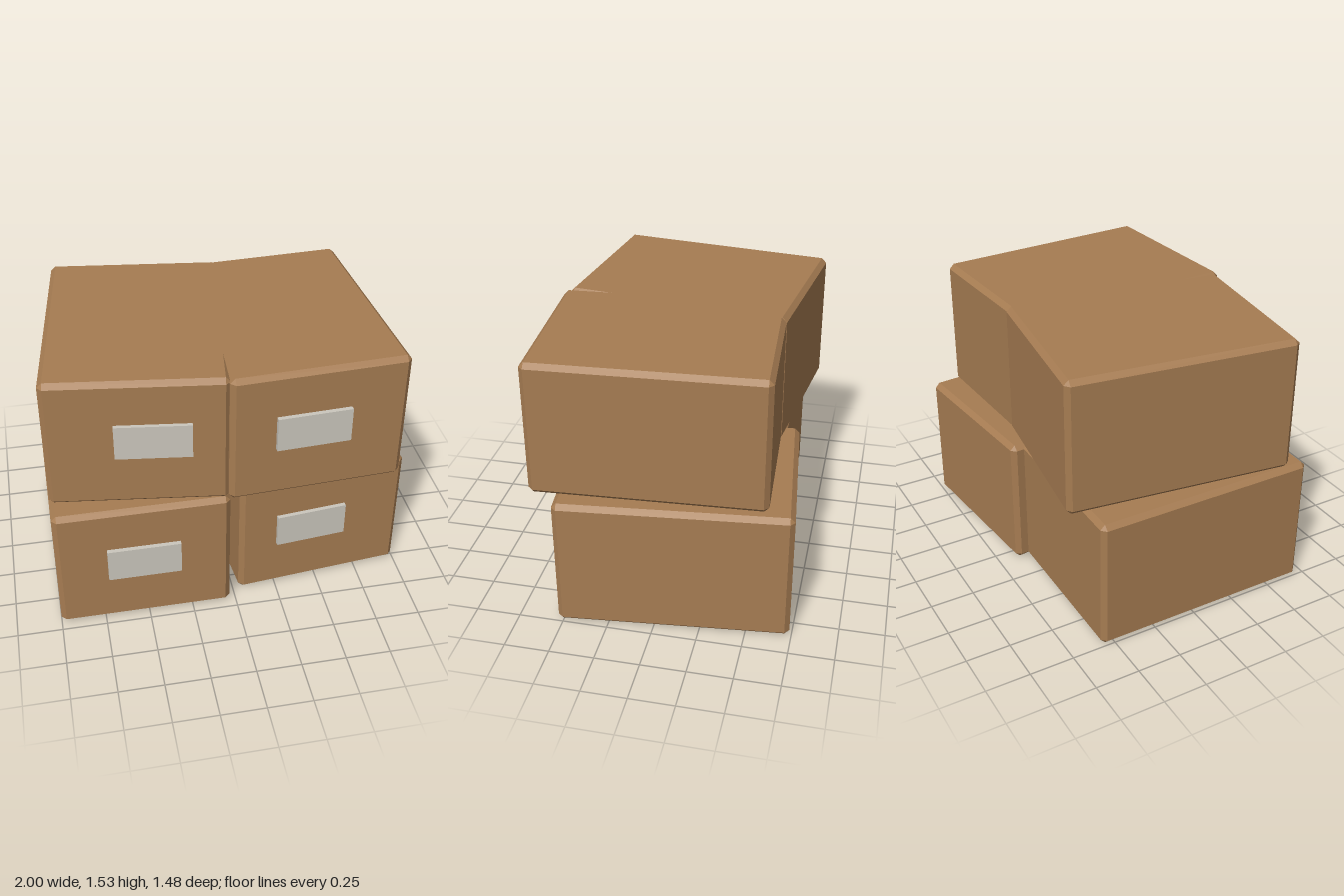
import * as THREE from 'three';
import { ConvexGeometry } from 'three/addons/geometries/ConvexGeometry.js';

const W = 0.966, H = 0.764, D = 1.275, CHAMFER = 0.027;
const LABEL = { w: 0.405, h: 0.2, t: 0.025, y: 0.41 };

// Box with every edge cut at 45 degrees: three points near each corner
function chamferedBox(w, h, d, c) {
  const points = [];
  for (const sx of [-1, 1]) for (const sy of [-1, 1]) for (const sz of [-1, 1]) {
    const x = w / 2, y = h / 2, z = d / 2;
    points.push(
      new THREE.Vector3(sx * x, sy * (y - c), sz * (z - c)),
      new THREE.Vector3(sx * (x - c), sy * y, sz * (z - c)),
      new THREE.Vector3(sx * (x - c), sy * (y - c), sz * z)
    );
  }
  return new ConvexGeometry(points);
}

export function createModel() {
  const cardboard = new THREE.MeshStandardMaterial({ color: 0xa67c52 });
  cardboard.name = 'cardboard';
  const paper = new THREE.MeshStandardMaterial({ color: 0xcbc7bd });
  paper.name = 'labelPaper';

  const boxGeometry = chamferedBox(W, H, D, CHAMFER);
  const labelGeometry = new THREE.BoxGeometry(LABEL.w, LABEL.h, LABEL.t);

  const model = new THREE.Group();
  model.name = 'boxStack';

  // name, x, base y, z, turn about the vertical
  const boxes = [
    ['lowerRightBox', -0.517, 0, 0.065, 0],
    ['lowerLeftBox', 0.454, 0, -0.058, 0.1],
    ['upperRightBox', -0.438, 0.768, 0.013, -0.13],
    ['upperLeftBox', 0.4, 0.768, 0.065, 0.055],
  ];
  for (const [name, x, y, z, turn] of boxes) {
    const group = new THREE.Group();
    group.name = name;
    group.position.set(x, y, z);

    const box = new THREE.Mesh(boxGeometry, cardboard);
    box.name = 'carton';
    box.position.y = H / 2;
    box.rotation.y = turn;

    // Label sits straight ahead of the box centre and shares its turn
    const label = new THREE.Mesh(labelGeometry, paper);
    label.name = 'label';
    label.position.set(0, LABEL.y, D / 2 + LABEL.t / 2 + 0.002);
    label.rotation.y = turn;

    group.add(box, label);
    model.add(group);
  }
  return model;
}
